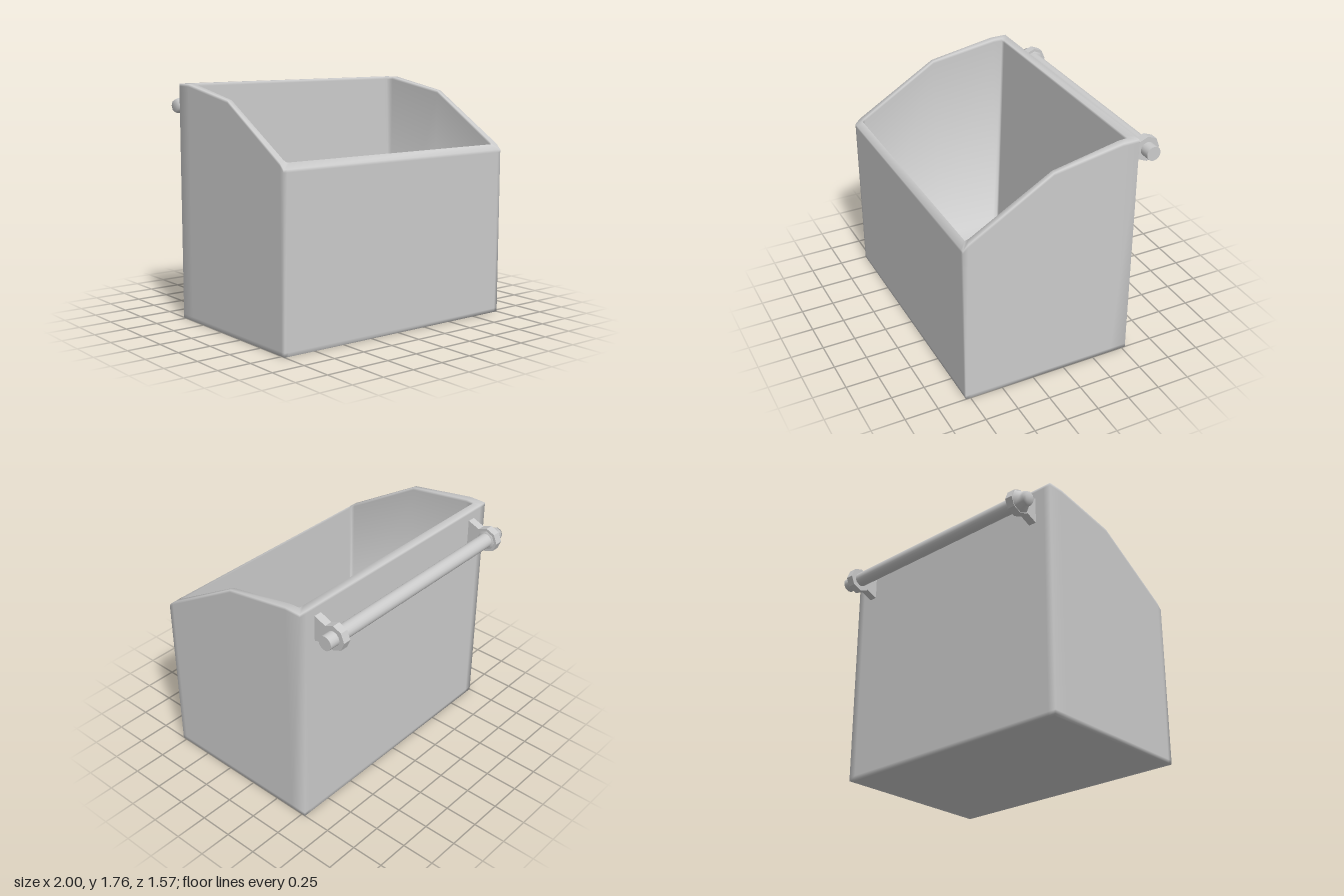
import * as THREE from 'three';

const material = new THREE.MeshStandardMaterial({ color: 0xcccccc });

function addMesh(parent, name, geometry) {
  const mesh = new THREE.Mesh(geometry, material);
  mesh.name = name;
  parent.add(mesh);
  return mesh;
}

// Closed ring from its +x half, listed front to back as [x, y, z]
function ring(half) {
  return [...half, ...half.map(([x, y, z]) => [-x, y, z]).reverse()];
}

// Open bin: one skin running from the underside, up the outside, over the rim and down inside
function binGeometry() {
  const outer = [[0.97, 0.785], [1, 0.785], [1, 0.745], [1, 0.12], [1, -0.4], [1, -0.53], [0.94, -0.53]];
  const rim = [[0.92, 0.745], [0.945, 0.745], [0.955, 0.72], [0.965, 0.12], [0.945, -0.4], [0.94, -0.47], [0.9, -0.47]];
  const floor = [[0.91, 0.74], [0.935, 0.74], [0.935, 0.71], [0.935, 0.12], [0.935, -0.38], [0.935, -0.415], [0.9, -0.415]];
  const outerTop = [1.255, 1.255, 1.295, 1.67, 1.76, 1.76, 1.76];
  const rimTop = [1.295, 1.295, 1.31, 1.67, 1.76, 1.76, 1.76];
  const at = (outline, height) => ring(outline.map(([x, z], i) => [x, height(i), z]));

  const rings = [
    at(outer.map(([x, z]) => [x * 0.97, 0.1275 + (z - 0.1275) * 0.96]), () => 0),
    at(outer, () => 0),
    at(outer, () => 0.03),
    at(outer, (i) => outerTop[i] - 0.02),
    at(outer, (i) => outerTop[i]),
    at(rim, (i) => rimTop[i]),
    at(rim, (i) => rimTop[i] - 0.02),
    at(floor, () => 0.06),
  ];
  const n = rings[0].length;
  const index = [];
  const quad = (a, b, c, d) => index.push(a, b, c, a, c, d);

  for (let r = 0; r < rings.length - 1; r++) {
    for (let i = 0; i < n; i++) {
      const j = (i + 1) % n;
      quad(r * n + i, r * n + j, (r + 1) * n + j, (r + 1) * n + i);
    }
  }
  // Underside and inner floor
  const last = (rings.length - 1) * n;
  for (let i = 0; i < n / 2 - 1; i++) {
    quad(n - 1 - i, n - 2 - i, i + 1, i);
    quad(last + i, last + i + 1, last + n - 2 - i, last + n - 1 - i);
  }

  const geometry = new THREE.BufferGeometry();
  geometry.setAttribute('position', new THREE.Float32BufferAttribute(rings.flat(2), 3));
  geometry.setIndex(index);
  geometry.computeVertexNormals();
  return geometry;
}

const BAR_Y = 1.585;
const BAR_Z = -0.693;

// Bracket plate: flared foot on the back wall running into an eight-sided eye
function bracketGeometry() {
  const width = 0.06;
  const points = [[0.52, 1.488], [0.535, 1.488], [0.625, 1.525]];
  for (let k = 0; k < 7; k++) {
    const a = -Math.PI * 0.75 + (k * Math.PI) / 4;
    points.push([-BAR_Z + 0.095 * Math.cos(a), BAR_Y + 0.095 * Math.sin(a)]);
  }
  points.push([0.625, 1.65], [0.535, 1.685], [0.52, 1.685]);
  const shape = new THREE.Shape(points.map(([u, y]) => new THREE.Vector2(u, y)));
  const geometry = new THREE.ExtrudeGeometry(shape, { depth: width, bevelEnabled: false });
  return geometry.translate(0, 0, -width / 2).rotateY(Math.PI / 2);
}

// Turned part lying along x, from [radius, x] pairs with rising x
function turned(profile, sides) {
  const points = profile.map(([r, x]) => new THREE.Vector2(r, x));
  return new THREE.LatheGeometry(points, sides).rotateZ(-Math.PI / 2);
}

export function createModel() {
  const model = new THREE.Group();
  model.name = 'hangingBin';
  addMesh(model, 'bin', binGeometry());

  const rail = new THREE.Group();
  rail.name = 'rail';
  model.add(rail);

  const bar = addMesh(rail, 'bar', new THREE.CylinderGeometry(0.054, 0.054, 1.8, 20).rotateZ(Math.PI / 2));
  bar.position.set(0.045, BAR_Y, BAR_Z);

  for (const side of [-1, 1]) {
    const bracket = addMesh(rail, side > 0 ? 'leftBracket' : 'rightBracket', bracketGeometry());
    bracket.position.x = side * 0.835;
  }

  // Flared knob closing the right end of the bar
  const knob = addMesh(rail, 'endKnob', turned(
    [[0, -0.95], [0.045, -0.95], [0.056, -0.925], [0.056, -0.9], [0.092, -0.862], [0.092, -0.81], [0.054, -0.8]], 8));
  knob.position.set(0, BAR_Y, BAR_Z);

  return model;
}
